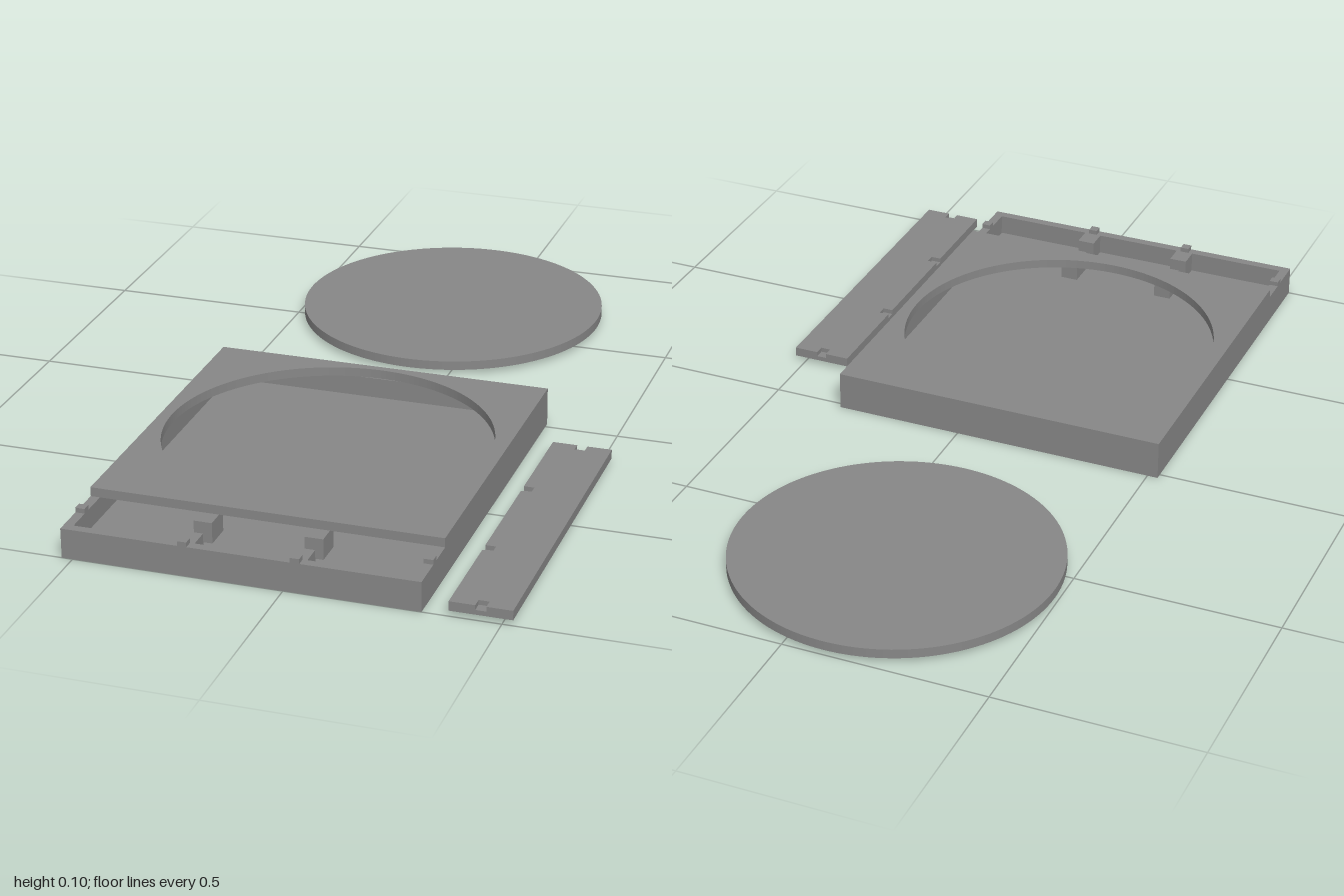
import * as THREE from 'three';

const material = new THREE.MeshStandardMaterial({ color: 0x878787 });

function addMesh(parent, name, geometry) {
  const mesh = new THREE.Mesh(geometry, material);
  mesh.name = name;
  parent.add(mesh);
  return mesh;
}

// Box given by its extents on each axis
function addBox(parent, name, [x0, x1], [y0, y1], [z0, z1]) {
  const mesh = addMesh(parent, name, new THREE.BoxGeometry(x1 - x0, y1 - y0, z1 - z0));
  mesh.position.set((x0 + x1) / 2, (y0 + y1) / 2, (z0 + z1) / 2);
  return mesh;
}

// Plan outline drawn in (x, z), raised from y0 to y1
function addPlate(parent, name, shape, y0, y1) {
  const geometry = new THREE.ExtrudeGeometry(shape, { depth: y1 - y0, bevelEnabled: false, curveSegments: 96 });
  geometry.rotateX(Math.PI / 2).translate(0, y1, 0);
  return addMesh(parent, name, geometry);
}

function outline(points) {
  return new THREE.Shape(points.map(([x, z]) => new THREE.Vector2(x, z)));
}

export function createModel() {
  const model = new THREE.Group();
  model.name = 'enclosureKit';

  const L = -0.526, R = 0.319, B = -0.016, F = 1;
  const wall = 0.0225, floorTop = 0.022, rim = 0.073, top = 0.0955, step = 0.828;
  const cx = (L + R) / 2;

  // Hollow case: floor and four walls
  const enclosure = new THREE.Group();
  enclosure.name = 'enclosure';
  model.add(enclosure);
  addBox(enclosure, 'floor', [L, R], [0, floorTop], [B, F]);
  addBox(enclosure, 'backWall', [L, R], [floorTop, rim], [B, B + wall]);
  addBox(enclosure, 'frontWall', [L, R], [floorTop, rim], [F - wall, F]);
  addBox(enclosure, 'rightWall', [L, L + wall], [floorTop, rim], [B + wall, F - wall]);
  addBox(enclosure, 'leftWall', [R - wall, R], [floorTop, rim], [B + wall, F - wall]);

  // Top plate with the round opening
  const plate = outline([[L, B], [R, B], [R, step], [L, step]]);
  plate.holes.push(new THREE.Path().absarc(cx, 0.397, 0.394, 0, Math.PI * 2, true));
  addPlate(enclosure, 'topPlate', plate, rim, top);

  // Lid supports, the rear ones reaching under the plate, and locating tabs on the rim
  for (const s of [-1, 1]) {
    const x = cx + s * 0.132;
    addBox(enclosure, 'rearPost', [x - 0.022, x + 0.022], [floorTop, rim], [0.805, 0.873]);
    addBox(enclosure, 'frontPost', [x - 0.022, x + 0.022], [floorTop, rim], [0.927, F - wall]);
    addBox(enclosure, 'frontTab', [x - 0.011, x + 0.011], [rim, 0.0845], [F - wall, F]);
    const outer = s < 0 ? [L, L + wall] : [R - wall, R];
    addBox(enclosure, 'sideTab', outer, [rim, 0.0845], [0.893, 0.915]);
  }

  // Loose rectangular lid, upper half notched to take the tabs
  const lid = new THREE.Group();
  lid.name = 'lid';
  model.add(lid);
  const x0 = 0.38, x1 = 0.525, z0 = 0.154, d = 0.025, h = 0.0125;
  const mx = 0.4525, mz = (z0 + F) / 2;
  addBox(lid, 'lidBase', [x0, x1], [0.0135, 0.025], [z0, F]);
  const notched = [[x0, z0], [mx - h, z0], [mx - h, z0 + d], [mx + h, z0 + d], [mx + h, z0],
    [x1, z0], [x1, F], [mx + h, F], [mx + h, F - d], [mx - h, F - d], [mx - h, F], [x0, F]];
  for (const z of [mz + 0.157, mz - 0.157]) {
    notched.push([x0, z + h], [x0 + d, z + h], [x0 + d, z - h], [x0, z - h]);
  }
  addPlate(lid, 'lidTop', outline(notched), 0.025, 0.0365);

  // Loose round cover
  const cover = addMesh(model, 'roundCover', new THREE.CylinderGeometry(0.393, 0.393, 0.023, 128));
  cover.position.set(cx, 0.025, -0.607);

  return model;
}
